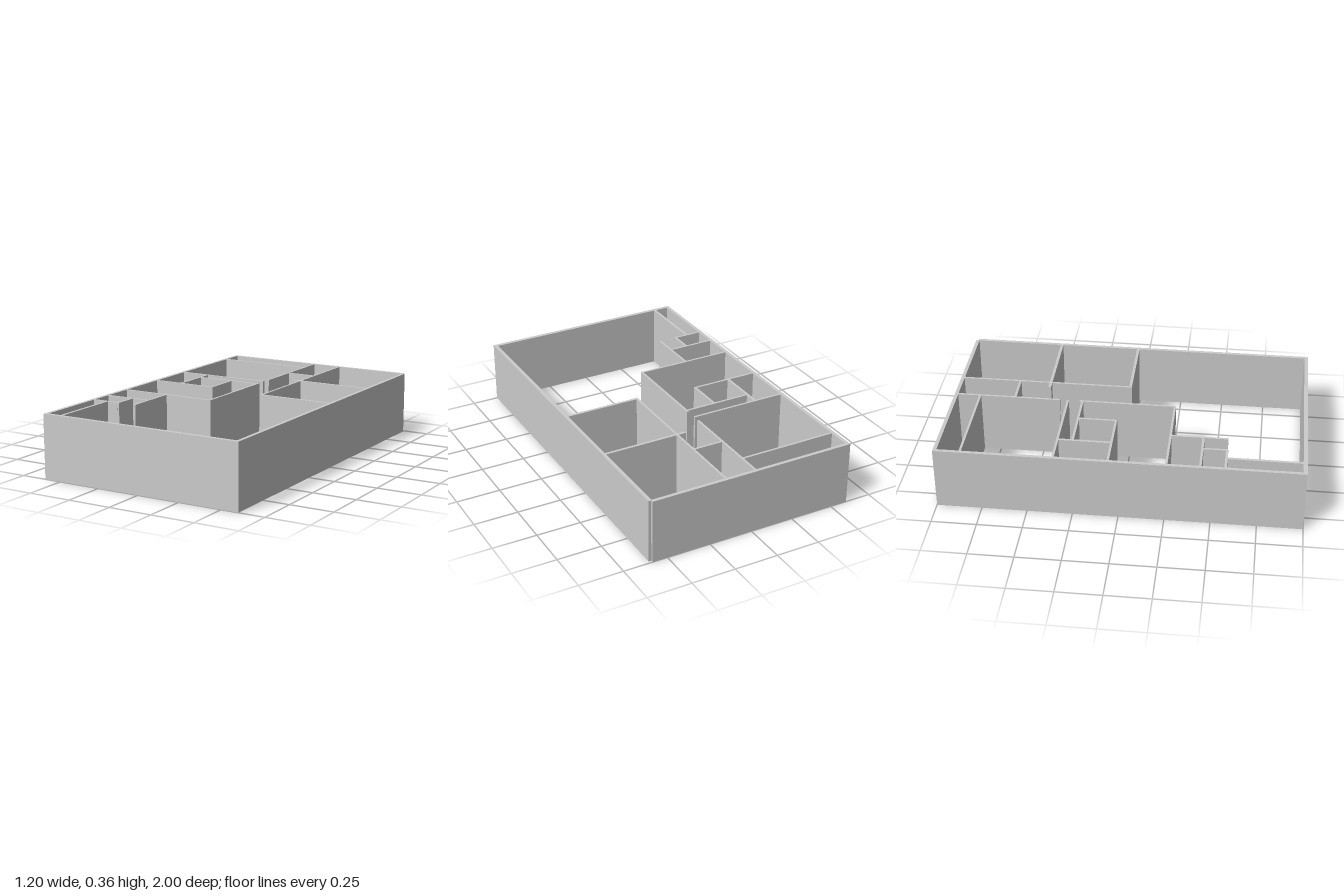
import * as THREE from 'three';

const HEIGHT = 0.36;
const material = new THREE.MeshStandardMaterial({ color: 0xcccccc });

// Full-height wall filling the plan rectangle x0..x1, z0..z1
function wall(name, x0, x1, z0, z1) {
  const mesh = new THREE.Mesh(new THREE.BoxGeometry(x1 - x0, HEIGHT, z1 - z0), material);
  mesh.position.set((x0 + x1) / 2, HEIGHT / 2, (z0 + z1) / 2);
  mesh.name = name;
  return mesh;
}

// Partition running along x, centred on z
const alongX = (name, z, x0, x1, t = 0.013) => wall(name, x0, x1, z - t / 2, z + t / 2);
// Partition running along z, centred on x
const alongZ = (name, x, z0, z1, t = 0.013) => wall(name, x - t / 2, x + t / 2, z0, z1);

export function createModel() {
  const house = new THREE.Group();
  house.name = 'floorPlan';

  // Thick outer shell, with a small notch at the back left corner
  const outer = new THREE.Group();
  outer.name = 'outerWalls';
  outer.add(
    wall('backWall', -0.6, 0.585, -1, -0.98),
    wall('frontWall', -0.58, 0.58, 0.978, 1),
    wall('rightWall', -0.6, -0.58, -0.98, 1),
    wall('leftWall', 0.58, 0.6, -0.985, 1),
  );

  const inner = new THREE.Group();
  inner.name = 'partitions';
  inner.add(
    // Back rooms and corridor
    alongX('backClosetWall', -0.853, -0.58, -0.028),
    alongZ('corridorRightWall', -0.022, -0.98, -0.395),
    alongZ('corridorLeftWall', 0.154, -0.98, -0.02),
    alongX('corridorEndWall', -0.652, -0.016, 0.148),
    // Rooms on the left side
    alongX('leftRoomDivider', -0.474, 0.103, 0.58, 0.016),
    alongX('leftRoomFrontWall', -0.013, 0.148, 0.58, 0.016),
    // Small rooms in the middle of the right side
    alongX('bathBackWall', -0.35, -0.58, -0.024),
    alongZ('bathDivider', -0.415, -0.344, -0.061, 0.015),
    alongX('closetBackWall', -0.267, -0.408, -0.028),
    alongZ('closetSideWall', -0.199, -0.261, -0.061),
    alongX('bathFrontWall', -0.055, -0.58, -0.193),
    alongZ('middleRoomSideWall', -0.022, -0.283, 0.251),
    alongX('middleRoomFrontWall', 0.257, -0.58, -0.016),
    // Small rooms toward the front
    alongZ('pantrySideWall', -0.312, 0.263, 0.572),
    alongX('pantryFrontWall', 0.437, -0.58, -0.318),
    alongZ('nookSideWall', -0.418, 0.443, 0.576),
    alongX('nookFrontWall', 0.57, -0.58, -0.424),
    alongZ('frontClosetWall', -0.495, 0.576, 0.978, 0.016),
  );

  house.add(outer, inner);
  return house;
}
